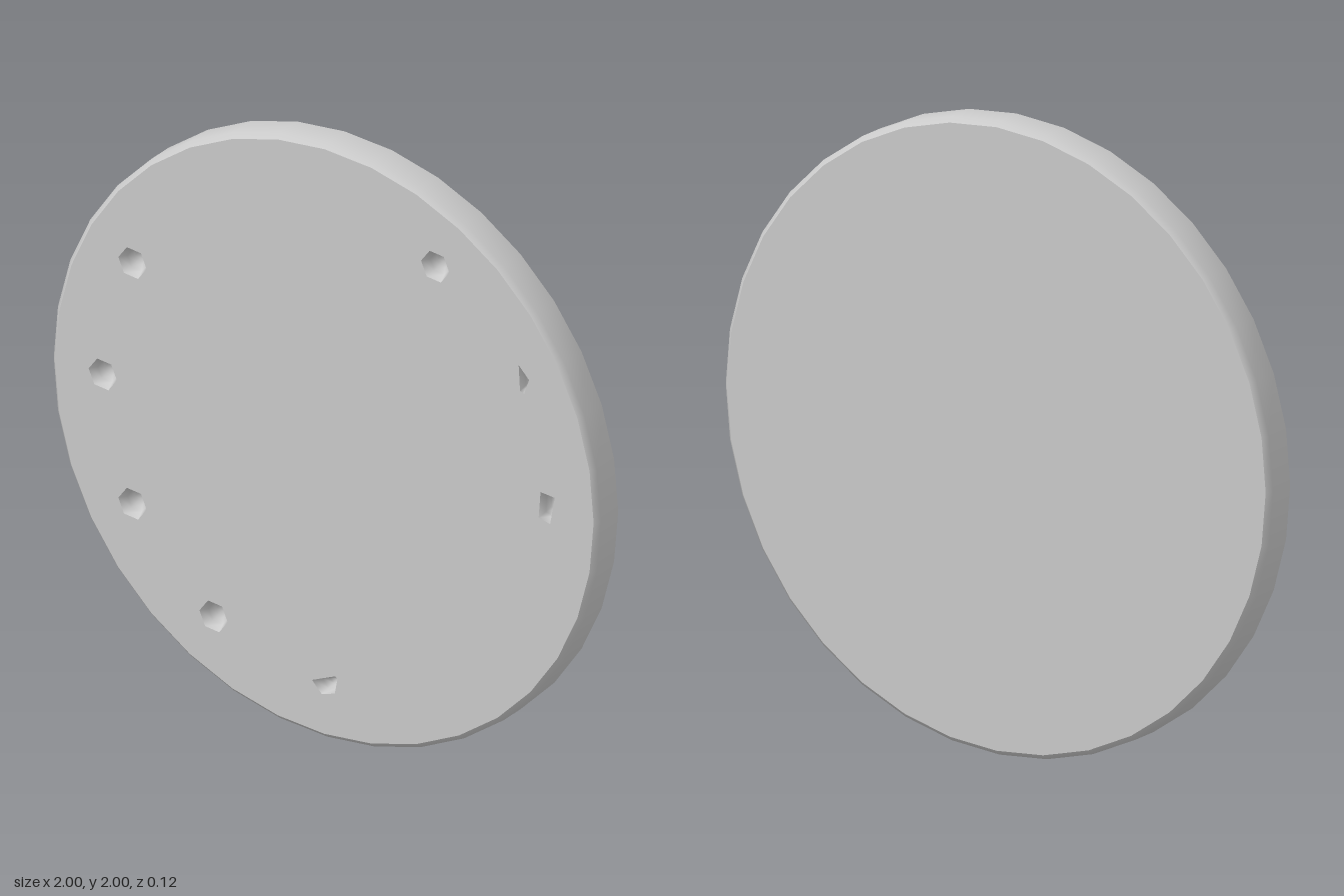
import * as THREE from 'three';

const SIDES = 36, HALF = 0.062, RIM = 1, FACE = 0.984, BEVEL = 0.016;
const MARK_RADIUS = 0.81, DENT = 0.052;

const ring = (n, r, offset = 0) => Array.from({ length: n }, (_, i) => {
  const a = offset + (i / n) * Math.PI * 2;
  return new THREE.Vector2(Math.cos(a) * r, Math.sin(a) * r);
});
const points = (list) => list.map(([x, y]) => new THREE.Vector2(x, y));

// Faceted hollow: the outline shrinks towards its middle as it deepens
function dentGeometry(outline) {
  const n = outline.length;
  const mid = outline.reduce((s, p) => s.add(p), new THREE.Vector2()).divideScalar(n);
  const levels = [[1, 0], [0.72, 0.028], [0.38, 0.042]];
  const pos = [], index = [];
  for (const [s, d] of levels) {
    for (const p of outline) {
      pos.push(mid.x + (p.x - mid.x) * s, mid.y + (p.y - mid.y) * s, HALF - d);
    }
  }
  pos.push(mid.x, mid.y, HALF - 0.046);
  for (let i = 0; i < n; i++) {
    const j = (i + 1) % n;
    for (let k = 0; k < levels.length - 1; k++) {
      const a = k * n + i, b = k * n + j;
      index.push(a, b, b + n, a, b + n, a + n);
    }
    const last = (levels.length - 1) * n;
    index.push(last + i, last + j, levels.length * n);
  }
  const g = new THREE.BufferGeometry();
  g.setAttribute('position', new THREE.Float32BufferAttribute(pos, 3));
  g.setIndex(index);
  g.computeVertexNormals();
  return g;
}

export function createModel() {
  const model = new THREE.Group();
  model.name = 'disc';
  const material = new THREE.MeshStandardMaterial({ color: 0xcccccc });
  const add = (name, geometry) => {
    const mesh = new THREE.Mesh(geometry, material);
    mesh.name = name;
    mesh.position.y = 1;
    model.add(mesh);
  };

  // Full six-sided dents, by clock angle
  const outlines = [60, 150, 180, 210, 240].map((deg) => {
    const a = THREE.MathUtils.degToRad(deg);
    const c = new THREE.Vector2(Math.cos(a), Math.sin(a)).multiplyScalar(MARK_RADIUS);
    return ring(6, DENT, -0.12).map((p) => p.add(c));
  });

  // Partial dents, counter-clockwise
  outlines.push(
    points([[0.71, 0.455], [0.715, 0.37], [0.73, 0.365], [0.748, 0.415]]),
    points([[0.79, 0.05], [0.783, -0.038], [0.825, -0.048], [0.842, 0.045]]),
    points([[-0.045, -0.815], [-0.01, -0.853], [0.038, -0.838], [0.048, -0.785], [0.038, -0.78]]),
  );

  // Front face with openings for the dents
  const face = new THREE.Shape(ring(SIDES, FACE));
  for (const o of outlines) face.holes.push(new THREE.Path(o));
  add('frontFace', new THREE.ShapeGeometry(face).translate(0, 0, HALF));
  for (const o of outlines) add('markerDent', dentGeometry(o));

  // Smooth bevelled rim and flat back
  const profile = points([
    [FACE, -HALF], [RIM, -HALF + BEVEL], [RIM, HALF - BEVEL], [FACE, HALF],
  ]);
  add('rim', new THREE.LatheGeometry(profile, SIDES).rotateX(Math.PI / 2));
  add('backFace', new THREE.CircleGeometry(FACE, SIDES).rotateY(Math.PI).translate(0, 0, -HALF));

  return model;
}
